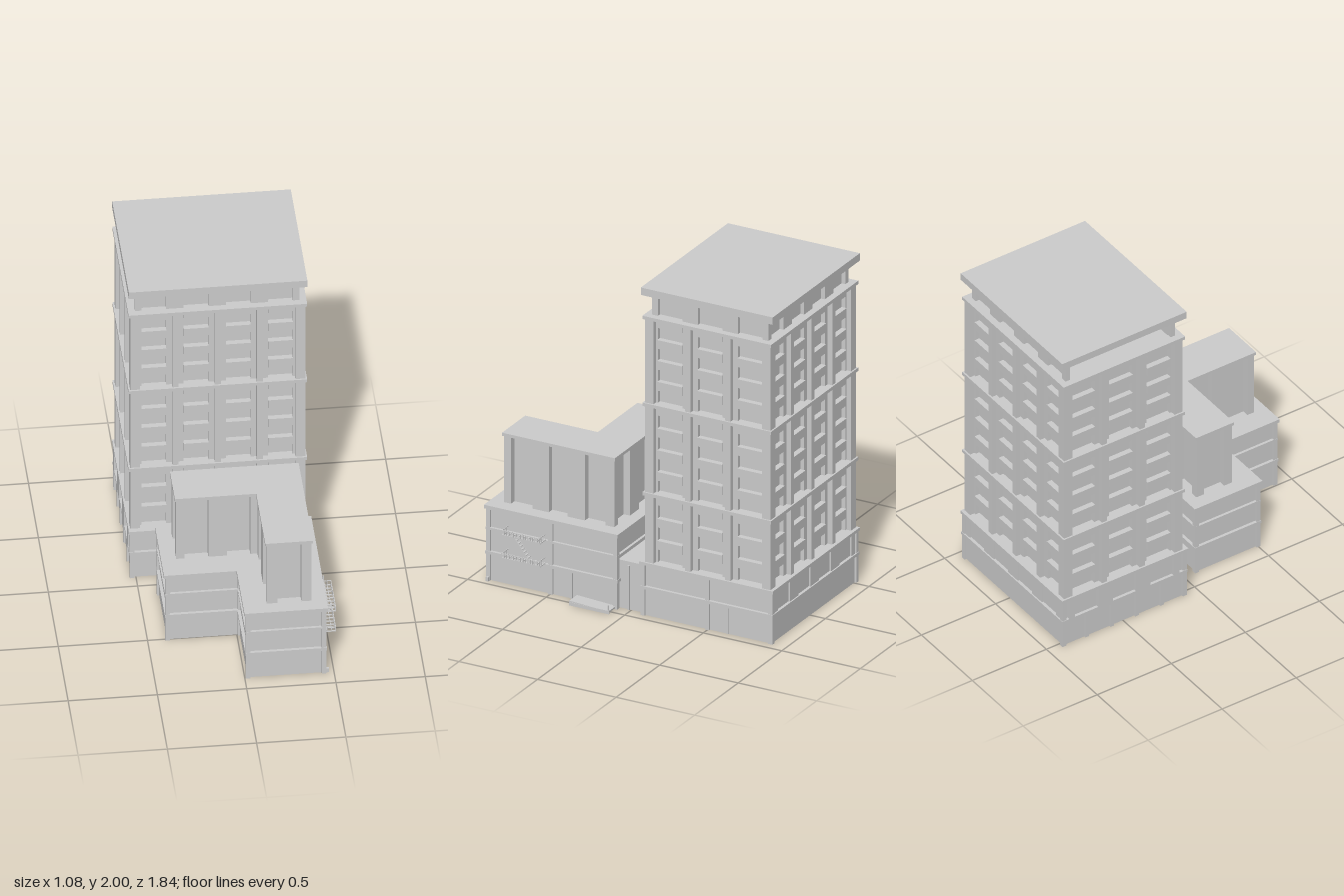
import * as THREE from 'three';

const grey = new THREE.MeshStandardMaterial({ color: 0xcccccc, side: THREE.DoubleSide });
grey.name = 'concrete grey';

// Box given by its minimum and maximum on each axis
function box(parent, name, x0, x1, y0, y1, z0, z1) {
  const m = new THREE.Mesh(new THREE.BoxGeometry(x1 - x0, y1 - y0, z1 - z0), grey);
  m.position.set((x0 + x1) / 2, (y0 + y1) / 2, (z0 + z1) / 2);
  m.name = name;
  parent.add(m);
  return m;
}

function group(parent, name) {
  const g = new THREE.Group();
  g.name = name;
  parent.add(g);
  return g;
}

// Prism standing on a plan outline of [x, z] points, with an optional hole
function prism(parent, name, pts, y0, y1, hole) {
  const to2 = a => a.map(([x, z]) => new THREE.Vector2(x, -z));
  const s = new THREE.Shape(to2(pts));
  if (hole) s.holes.push(new THREE.Path(to2(hole)));
  const geo = new THREE.ExtrudeGeometry(s, { depth: y1 - y0, bevelEnabled: false });
  geo.rotateX(-Math.PI / 2);
  const m = new THREE.Mesh(geo, grey);
  m.position.y = y0;
  m.name = name;
  parent.add(m);
}

const rect = (x0, x1, z0, z1, d) =>
  [[x0 + d, z0 + d], [x1 - d, z0 + d], [x1 - d, z1 - d], [x0 + d, z1 - d]];
const ell = ([x0, x1, xm, z0, zm, z1], d) =>
  [[x0 + d, z0 + d], [x1 - d, z0 + d], [x1 - d, z1 - d], [xm + d, z1 - d], [xm + d, zm - d], [x0 + d, zm - d]];

const CX = -0.04, CZ = -0.5, HX = 0.49, HZ = 0.4; // tower centre and half sizes
const STRIP = 0.03, GLASS = 0.055, PIER = 0.035; // setbacks and pier width
const segments = [[0.33, 0.735, 3], [0.75, 1.28, 4], [1.3, 1.81, 4]];

// One tower facade; local x runs along the wall, local z points outward
function facade(parent, name, angle, half, dist, bays, crown, baseBays) {
  const g = group(parent, name);
  g.position.set(CX, 0, CZ);
  g.rotation.y = angle;
  const pitch = (2 * half - PIER) / bays;
  const centre = i => -half + PIER / 2 + i * pitch;
  for (let i = 0; i <= bays; i++) {
    const c = centre(i);
    const a = Math.max(c - 0.049, -half + STRIP), b = Math.min(c + 0.049, half - STRIP);
    box(g, 'pier', c - PIER / 2, c + PIER / 2, 0.32, 1.82, dist - GLASS, dist);
    box(g, 'pierBacking', a, b, 0.32, 1.82, dist - GLASS - 0.005, dist - STRIP);
    if (crown) box(g, 'crownPillar', a, b, 1.82, 1.965, dist - GLASS - 0.005, dist - STRIP);
    if (baseBays) box(g, 'basePillar', a, b, 0.17, 0.32, dist - 0.03, dist + 0.01);
  }
  // spandrels between the recessed windows
  for (let i = 0; i < bays; i++) {
    const u0 = centre(i) + 0.049, u1 = centre(i + 1) - 0.049;
    for (const [y0, y1, floors] of segments) {
      const h = (y1 - y0) / floors;
      for (let f = 0; f < floors; f++) {
        const y = y0 + f * h + 0.078;
        box(g, 'spandrel', u0, u1, y, Math.min(y + 0.053, y1), dist - GLASS - 0.005, dist - 0.022);
      }
    }
  }
  if (crown) {
    const e = half - GLASS;
    box(g, 'crownWall', -e, e, 1.82, 1.965, dist - GLASS - 0.01, dist - GLASS);
  }
}

function buildTower(root) {
  const t = group(root, 'tower');
  box(t, 'towerCore', CX - HX + GLASS, CX + HX - GLASS, 0.32, 1.82, CZ - HZ + GLASS, CZ + HZ - GLASS);
  facade(t, 'frontFacade', 0, HX, HZ, 4, true, false);
  facade(t, 'leftFacade', Math.PI / 2, HZ, HX, 3, true, false);
  facade(t, 'backFacade', Math.PI, HX, HZ, 4, true, true);
  facade(t, 'rightFacade', -Math.PI / 2, HZ, HX, 3, false, true);
  for (const y of [0.735, 1.28, 1.81])
    box(t, 'beltCourse', -0.54, 0.46, y, y + 0.02, -0.91, -0.09);
  box(t, 'roofSlab', -0.54, 0.46, 1.955, 2, -0.92, -0.08);

  // Base: hollow ground floor, closed storey above it
  const b = group(t, 'towerBase');
  const [x0, x1, z0, z1] = [-0.535, 0.455, -0.915, -0.075];
  prism(b, 'groundWall', rect(x0, x1, z0, z1, 0.012), 0, 0.17, rect(x0, x1, z0, z1, 0.024));
  prism(b, 'baseStorey', rect(x0, x1, z0, z1, 0.015), 0.166, 0.325);
  prism(b, 'lowerBand', rect(x0, x1, z0, z1, -0.003), 0.162, 0.18);
  prism(b, 'upperBand', rect(x0, x1, z0, z1, -0.006), 0.31, 0.328);
  for (const x of [x0, x1 - 0.027])
    for (const z of [z0, z1 - 0.027]) box(b, 'cornerPost', x, x + 0.027, 0, 0.32, z, z + 0.027);
  box(b, 'sidePost', x1 - 0.02, x1, 0, 0.32, -0.51, -0.485);
  box(b, 'sidePost', x1 - 0.02, x1 - 0.006, 0, 0.165, -0.63, -0.62);
  box(b, 'frontPost', -0.05, -0.025, 0, 0.32, z1 - 0.02, z1);
  for (let i = 1; i < 5; i++) {
    const z = z0 + i * 0.168;
    box(b, 'groundPost', x0, x0 + 0.03, 0, 0.17, z - 0.012, z + 0.012);
  }
}

function buildAnnex(root) {
  const a = group(root, 'annex');
  const L = [-0.402, 0.457, 0.005, 0.072, 0.513, 0.908];
  prism(a, 'groundWall', ell(L, 0.012), 0, 0.17, ell(L, 0.024));
  prism(a, 'storeys', ell(L, 0.015), 0.166, 0.445);
  prism(a, 'lowerBand', ell(L, -0.003), 0.162, 0.18);
  prism(a, 'middleBand', ell(L, -0.001), 0.312, 0.325);
  prism(a, 'terraceSlab', ell(L, -0.008), 0.438, 0.46);
  const [x0, x1, xm, z0, zm, z1] = L, w = 0.026;
  const posts = [[x0, z0], [x0, zm - w], [x1 - w, z0], [x1 - w, z1 - w], [xm, z1 - w],
    [xm, zm - w], [x1 - w, 0.485], [xm, z0]];
  for (const [x, z] of posts) box(a, 'post', x, x + w, 0, 0.44, z, z + w);

  // Upper volume with deep recesses between wide pillars
  const u = group(a, 'upperVolume');
  const U = [-0.325, 0.38, 0.13, 0.133, 0.373, 0.835];
  const d = 0.04, y0 = 0.455, y1 = 0.87;
  prism(u, 'upperCore', ell(U, d), y0, y1);
  prism(u, 'upperRoof', ell(U, -0.008), 0.866, 0.885);
  const alongX = (z, list) => list.forEach(([p, q]) => box(u, 'pillar', p, q, y0, y1, z, z + d + 0.005));
  const alongZ = (x, list) => list.forEach(([p, q]) => box(u, 'pillar', x, x + d + 0.005, y0, y1, p, q));
  alongX(U[4] - d - 0.005, [[-0.325, -0.28], [-0.145, -0.04], [0.09, 0.15]]);
  alongX(U[5] - d - 0.005, [[0.13, 0.19], [0.325, 0.38]]);
  alongX(U[3], [[-0.325, -0.28], [-0.145, -0.04], [0.095, 0.2], [0.335, 0.38]]);
  const wing = [[0.32, 0.43], [0.55, 0.655], [0.79, 0.835]];
  alongZ(U[1] - d - 0.005, [[0.133, 0.19], ...wing]);
  alongZ(U[2], wing);
  alongZ(U[0], [[0.133, 0.185], [0.32, 0.373]]);
}

// Balcony with railing, between two z ends
function balcony(parent, y) {
  const g = group(parent, 'balcony');
  const xa = 0.455, xb = 0.525, za = 0.53, zb = 0.77, t = 0.004, h = 0.035;
  box(g, 'balconyEdge', xb - t, xb, y, y + 0.008, za, zb);
  for (let i = 0; i <= 16; i++) {
    const z = za + (zb - za) * i / 16;
    box(g, 'baluster', xb - t, xb, y, y + h, z - t / 2, z + t / 2);
    if (i % 2 === 0) box(g, 'grating', xa, xb, y, y + t, z - t, z + t);
  }
  for (const x of [0.475, 0.5]) box(g, 'floorBar', x, x + t, y, y + t, za, zb);
  box(g, 'handrail', xb - t, xb, y + h - t, y + h, za, zb);
  for (const z of [za, zb - t]) {
    box(g, 'endRail', xa, xb, y + h - t, y + h, z, z + t);
    for (const x of [0.475, 0.5]) box(g, 'baluster', x, x + t, y, y + h, z, z + t);
  }
}

function buildFireEscape(root) {
  const g = group(root, 'fireEscape');
  balcony(g, 0.185);
  balcony(g, 0.325);
  // diagonal stair: two stringers and treads
  const s = group(g, 'stair');
  const n = 9, dz = -0.11, dy = -0.135;
  s.position.set(0.497, 0.3225, 0.7);
  for (const x of [-0.016, 0.016]) {
    const m = box(s, 'stringer', x - 0.002, x + 0.002, -0.004, 0.004, -0.087, 0.087);
    m.position.set(x, dy / 2, dz / 2);
    m.rotation.x = -Math.atan2(dy, dz) + Math.PI;
  }
  for (let i = 1; i < n; i++) {
    const y = dy * i / n, z = dz * i / n;
    box(s, 'tread', -0.016, 0.016, y - 0.0015, y + 0.0015, z - 0.006, z + 0.006);
  }
}

export function createModel() {
  const root = new THREE.Group();
  root.name = 'building';
  buildTower(root);
  buildAnnex(root);
  buildFireEscape(root);

  // Passage joining the two buildings
  const p = group(root, 'passage');
  box(p, 'passageRoof', 0.02, 0.43, 0.283, 0.296, -0.085, 0.08);
  box(p, 'passageWall', 0.03, 0.42, 0, 0.285, -0.085, 0.08);
  box(p, 'passagePost', 0.418, 0.43, 0, 0.27, 0.01, 0.022);

  // Sloping entrance ramp beside the annex
  const e = group(root, 'entranceRamp');
  const ramp = box(e, 'rampPlate', 0.445, 0.533, 0.012, 0.022, 0.085, 0.335);
  ramp.rotation.x = -0.05;
  box(e, 'rampKerb', 0.526, 0.535, 0, 0.02, 0.082, 0.335);
  box(e, 'rampPost', 0.527, 0.534, 0, 0.052, 0.085, 0.092);
  box(e, 'doorFrame', 0.44, 0.454, 0, 0.165, 0.36, 0.37);
  box(e, 'wallPipe', 0.457, 0.472, 0, 0.025, 0.885, 0.9);
  return root;
}
